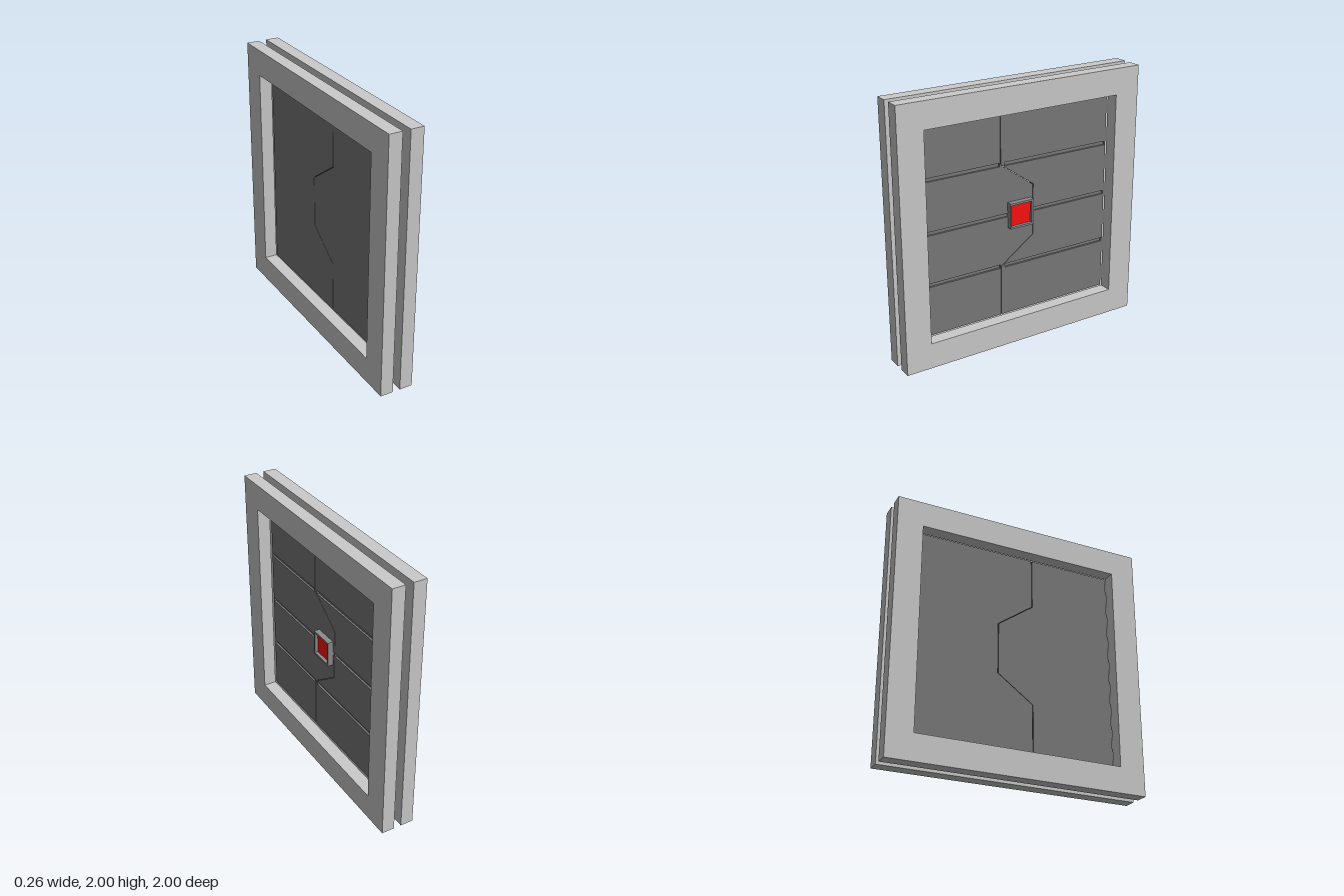
import * as THREE from 'three';

const grey = new THREE.MeshStandardMaterial({ color: 0xcccccc });
const dark = new THREE.MeshStandardMaterial({ color: 0x7a7a7a });
const rimGrey = new THREE.MeshStandardMaterial({ color: 0x8c8c8c });
const red = new THREE.MeshStandardMaterial({ color: 0xff1010 });

const toPoints = (list) => list.map(([u, v]) => new THREE.Vector2(u, v));
const rect = (u0, u1, v0, v1) => [[u0, v0], [u1, v0], [u1, v1], [u0, v1]];

// Outline in (u = -z, v = y), extruded along x from x0 to x1
function slab(name, outline, holes, x0, x1, material) {
  const shape = new THREE.Shape(toPoints(outline));
  for (const h of holes) shape.holes.push(new THREE.Path(toPoints(h)));
  const geo = new THREE.ExtrudeGeometry(shape, { depth: x1 - x0, bevelEnabled: false });
  geo.translate(0, 0, x0);
  geo.rotateY(Math.PI / 2);
  const mesh = new THREE.Mesh(geo, material);
  mesh.name = name;
  return mesh;
}

export function createModel() {
  const model = new THREE.Group();
  model.name = 'slidingDoor';

  // Two square frames, one on each side of the door leaves
  const outer = rect(-1, 1, 0, 2);
  const opening = rect(-0.8, 0.8, 0.2, 1.8);
  model.add(slab('rightFrame', outer, [opening], -0.13, -0.03, grey));
  model.add(slab('leftFrame', outer, [opening], 0.03, 0.13, grey));

  // Door leaves meeting along a stepped seam
  const seam = [[-0.14, 0.2], [-0.14, 0.6], [0.14, 0.8], [0.14, 1.2], [-0.14, 1.4], [-0.14, 1.8]];
  const gap = 0.003;
  const leaves = [
    { name: 'frontLeaf', side: -1, ends: [-0.147, 0.132, -0.147] },
    { name: 'backLeaf', side: 1, ends: [-0.108, 0.15, -0.108] },
  ];
  for (const { name, side, ends } of leaves) {
    const edge = seam.map(([u, v]) => [u + side * gap, v]);
    const outline = [[side * 0.8, 0.2], ...edge, [side * 0.8, 1.8]];
    // One horizontal groove in each third of the leaf
    const grooves = ends.map((end, i) => {
      const y = 0.6 + 0.4 * i;
      const far = side * 0.79;
      return rect(Math.min(end, far), Math.max(end, far), y - 0.014, y + 0.014);
    });
    const leaf = new THREE.Group();
    leaf.name = name;
    leaf.add(slab('leafCore', outline, [], -0.025, 0.003, dark));
    leaf.add(slab('groovedFace', outline, grooves, 0.003, 0.018, dark));
    model.add(leaf);
  }

  // Lock: raised rim around a recessed red plate
  const lock = new THREE.Group();
  lock.name = 'lock';
  const inner = rect(-0.07, 0.105, 0.915, 1.085);
  lock.add(slab('lockRim', rect(-0.08, 0.12, 0.9, 1.1), [inner], 0.01, 0.062, rimGrey));
  lock.add(slab('lockPlate', inner, [], 0.01, 0.037, red));
  model.add(lock);

  return model;
}
